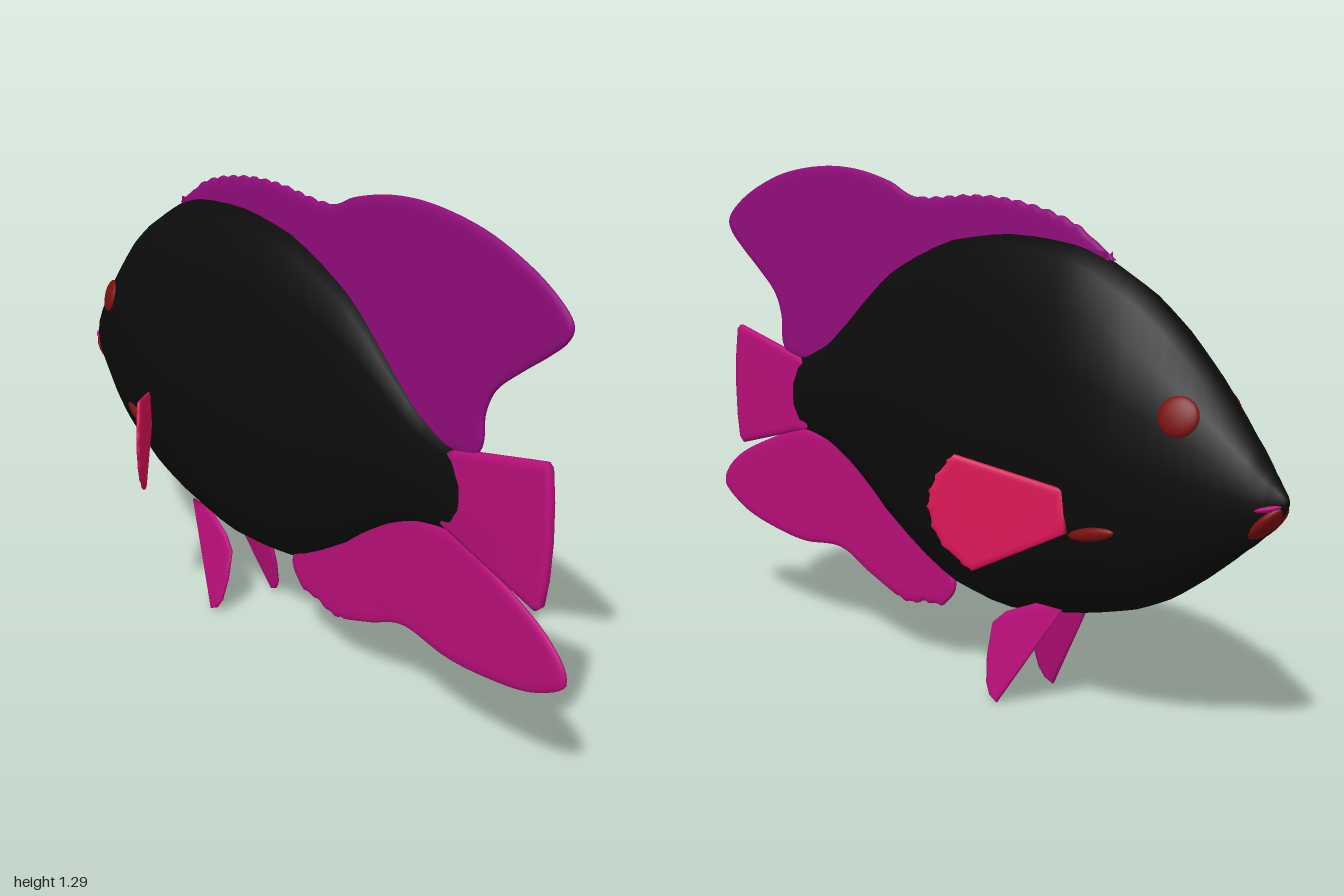
import * as THREE from 'three';
import { mergeVertices } from 'three/addons/utils/BufferGeometryUtils.js';

const mat = (name, color) => new THREE.MeshStandardMaterial({ name, color });

// Smooth spline through [z, y] points, with small scallops where wave(z, y) is true
function outline(points, count, wave) {
  const curve = new THREE.SplineCurve(points.map(p => new THREE.Vector2(...p)));
  curve.points.push(curve.points[0].clone());
  const pts = curve.getSpacedPoints(count).slice(0, -1);
  if (wave) for (const p of pts) if (wave(p.x, p.y)) p.y += 0.008 * (Math.abs(Math.sin(p.x * 65)) - 0.5);
  return pts;
}

// Thin fin with soft edges, drawn in the z-y plane and leaned sideways by lean(y, z)
function finGeometry(pts, half, edge, lean) {
  const core = half * 0.3;
  let g = new THREE.ExtrudeGeometry(new THREE.Shape(pts), {
    depth: core * 2, steps: 1, bevelEnabled: true, bevelSegments: 3,
    bevelThickness: half - core, bevelSize: edge, bevelOffset: -edge,
  });
  g.translate(0, 0, -core);
  g.rotateY(-Math.PI / 2);
  if (lean) {
    const p = g.attributes.position;
    for (let i = 0; i < p.count; i++) p.setX(i, p.getX(i) + lean(p.getY(i), p.getZ(i)));
  }
  g.deleteAttribute('uv');
  g.deleteAttribute('normal');
  g = mergeVertices(g, 1e-5);
  g.computeVertexNormals();
  return g;
}

// Body from elliptical rings; each station is [z, top, bottom, half width]
function bodyGeometry() {
  const stations = [
    [-1, 0.612, 0.595, 0.006], [-0.975, 0.645, 0.555, 0.026], [-0.95, 0.675, 0.528, 0.043],
    [-0.9, 0.74, 0.485, 0.066], [-0.8, 0.86, 0.405, 0.101], [-0.7, 0.96, 0.338, 0.126],
    [-0.6, 1.037, 0.293, 0.145], [-0.5, 1.09, 0.265, 0.152], [-0.4, 1.122, 0.243, 0.149],
    [-0.2, 1.14, 0.215, 0.132], [0, 1.12, 0.243, 0.11], [0.2, 1.045, 0.35, 0.08],
    [0.3, 0.98, 0.423, 0.065], [0.4, 0.895, 0.49, 0.049], [0.5, 0.817, 0.538, 0.035],
    [0.6, 0.775, 0.56, 0.021], [0.63, 0.768, 0.558, 0.017], [0.65, 0.735, 0.585, 0.014],
    [0.662, 0.69, 0.63, 0.008],
  ];
  const sides = 16, sub = 3, rings = (stations.length - 1) * sub;
  const size = new THREE.CatmullRomCurve3(stations.map(s => new THREE.Vector3(s[1], s[2], s[3])));
  const along = new THREE.SplineCurve(stations.map((s, i) => new THREE.Vector2(s[0], i)));
  const pos = [], idx = [];
  for (let i = 0; i <= rings; i++) {
    const { x: top, y: bottom, z: w } = size.getPoint(i / rings);
    const z = along.getPoint(i / rings).x;
    for (let j = 0; j < sides; j++) {
      const a = j / sides * Math.PI * 2;
      pos.push(w * Math.sin(a), (top + bottom) / 2 + (top - bottom) / 2 * Math.cos(a), z);
      if (i === rings) continue;
      const k = i * sides, n = (j + 1) % sides;
      idx.push(k + j, k + sides + j, k + n, k + n, k + sides + j, k + sides + n);
    }
  }
  // End caps
  const last = rings * sides;
  for (let j = 1; j < sides - 1; j++) {
    idx.push(0, j, j + 1, last, last + j + 1, last + j);
  }
  const g = new THREE.BufferGeometry();
  g.setAttribute('position', new THREE.Float32BufferAttribute(pos, 3));
  g.setIndex(idx);
  g.computeVertexNormals();
  return g;
}

export function createModel() {
  const model = new THREE.Group();
  model.name = 'fish';
  const black = mat('bodyBlack', 0x0c0c0c);
  const purple = mat('dorsalPurple', 0x930d7c);
  const magenta = mat('finMagenta', 0xba0f7a);
  const crimson = mat('pectoralCrimson', 0xdc1256);
  const red = mat('darkRed', 0x7c1010);

  const add = (name, geometry, material) => {
    const m = new THREE.Mesh(geometry, material);
    m.name = name;
    model.add(m);
    return m;
  };
  const blob = (name, material, position, scale, rotation = [0, 0, 0]) => {
    const m = add(name, new THREE.SphereGeometry(1, 20, 14), material);
    m.position.set(...position);
    m.scale.set(...scale);
    m.rotation.set(...rotation);
  };

  add('body', bodyGeometry(), black);

  // Dorsal fin, scalloped along its front half
  const dorsal = outline([
    [-0.52, 1.085], [-0.39, 1.165], [-0.23, 1.208], [-0.07, 1.222], [0.14, 1.215], [0.25, 1.255],
    [0.38, 1.285], [0.52, 1.293], [0.68, 1.275], [0.81, 1.235], [0.9, 1.19], [0.95, 1.145],
    [0.94, 1.105], [0.89, 1.06], [0.81, 1.0], [0.74, 0.94], [0.71, 0.875], [0.708, 0.81],
    [0.685, 0.775], [0.62, 0.762], [0.5, 0.76], [0.3, 0.88], [0, 1.03], [-0.3, 1.05],
  ], 240, (z, y) => z > -0.45 && z < 0.14 && y > 1.13);
  add('dorsalFin', finGeometry(dorsal, 0.009, 0.022), purple);

  // Tail fin
  const tail = [
    [0.58, 0.755], [0.63, 0.767], [0.905, 0.836], [0.918, 0.825], [0.928, 0.75],
    [0.932, 0.66], [0.928, 0.57], [0.918, 0.505], [0.9, 0.489], [0.64, 0.555], [0.58, 0.57],
  ].map(p => new THREE.Vector2(...p));
  add('tailFin', finGeometry(tail, 0.013, 0.018), magenta);

  // Anal fin, scalloped at its front
  const anal = outline([
    [0.62, 0.562], [0.73, 0.532], [0.89, 0.468], [0.97, 0.415], [1.0, 0.37], [0.985, 0.335],
    [0.89, 0.285], [0.76, 0.255], [0.62, 0.24], [0.46, 0.25], [0.33, 0.198], [0.195, 0.152],
    [0.115, 0.164], [0.04, 0.175], [0.01, 0.26], [0.2, 0.42], [0.4, 0.54],
  ], 180, (z, y) => z > 0.05 && z < 0.22 && y < 0.2);
  add('analFin', finGeometry(anal, 0.009, 0.022), magenta);

  const pelvic = [
    [-0.415, 0.262], [-0.25, 0.006], [-0.225, 0.018], [-0.208, 0.045], [-0.197, 0.11],
    [-0.2, 0.19], [-0.24, 0.225], [-0.33, 0.262],
  ].map(p => new THREE.Vector2(...p)).reverse();

  const pectoral = [[-0.5, 0.475], [-0.5, 0.575]].map(p => new THREE.Vector2(...p));
  const fan = new THREE.SplineCurve([
    [-0.29, 0.648], [-0.255, 0.59], [-0.243, 0.525], [-0.265, 0.445], [-0.325, 0.378],
  ].map(p => new THREE.Vector2(...p))).getPoints(28);
  fan.forEach((p, i) => { p.x += i % 4 === 2 ? 0.005 : 0; });
  pectoral.push(...fan);

  // Paired parts; s = 1 is the +x side
  for (const s of [1, -1]) {
    const side = s > 0 ? 'Left' : 'Right';
    add('pelvicFin' + side, finGeometry(pelvic, 0.007, 0.014,
      y => s * (0.052 + (0.25 - y) * 0.2)), magenta);
    add('pectoralFin' + side, finGeometry(pectoral, 0.008, 0.014,
      (y, z) => s * (0.148 + (z + 0.48) * 0.7)), crimson);
    blob('eye' + side, red, [s * 0.089, 0.77, -0.777], [0.014, 0.045, 0.047], [0, s * 0.33, s * 0.28]);
    blob('gillSlit' + side, red, [s * 0.131, 0.485, -0.572], [0.012, 0.016, 0.062], [0.2, s * 0.12, -s * 0.2]);
  }

  // Mouth: lower lip patch with a thin upper lip above it
  blob('lowerLip', red, [0, 0.553, -0.95], [0.043, 0.018, 0.06], [0.8, 0, 0]);
  blob('upperLip', magenta, [0, 0.587, -0.953], [0.045, 0.01, 0.042], [0.25, 0, 0]);

  return model;
}
